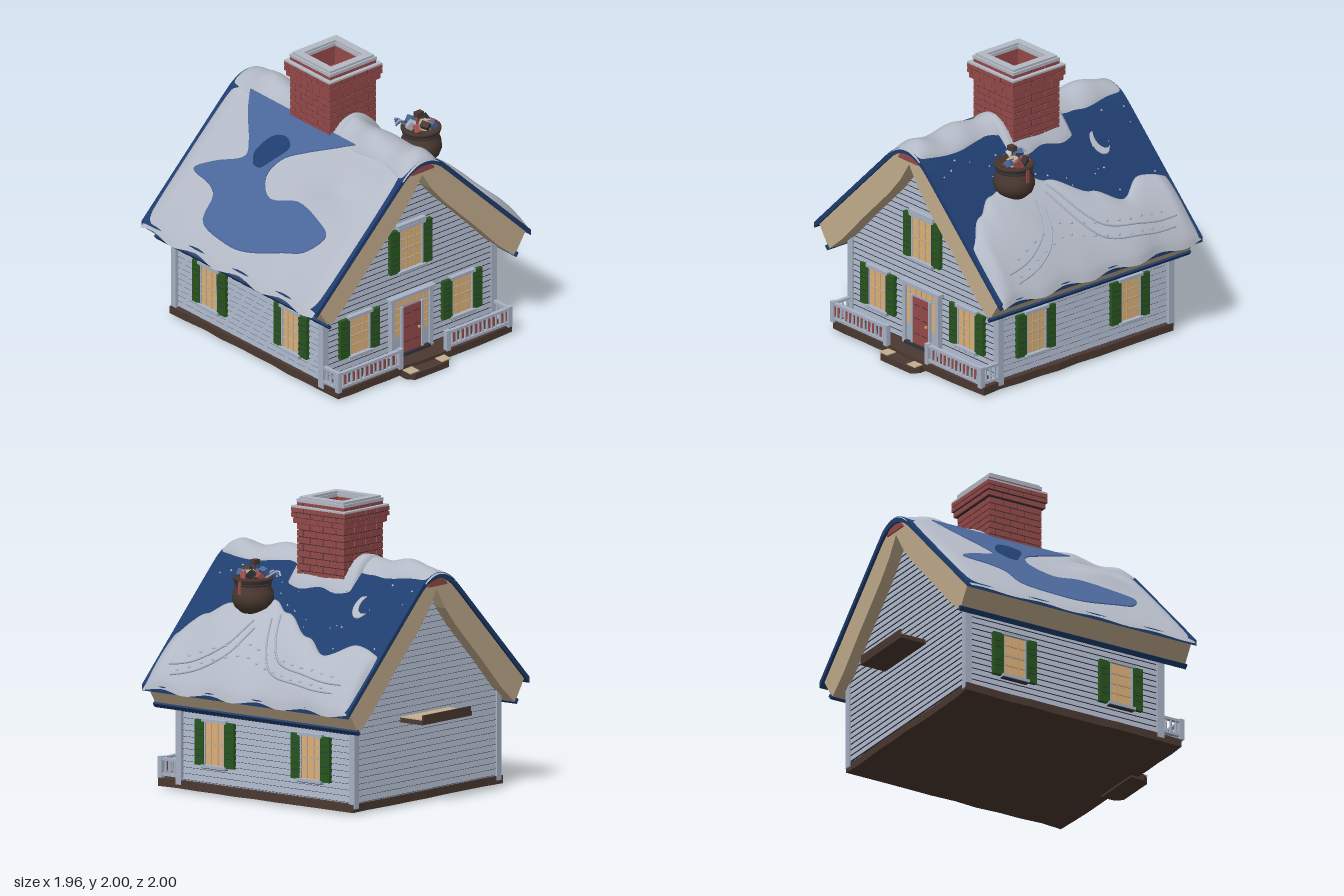
import * as THREE from 'three';
import { mergeGeometries } from 'three/addons/utils/BufferGeometryUtils.js';

const paint = (name, color, side = THREE.FrontSide) => {
  const m = new THREE.MeshStandardMaterial({ color, side });
  m.name = name;
  return m;
};
const siding = paint('greyBlueSiding', 0xa9b3c6), snow = paint('snow', 0xb3b9c5, THREE.DoubleSide);
const navy = paint('navyRoof', 0x1f3d6e), ice = paint('icyBlue', 0x4a669a);
const tan = paint('tanTrim', 0xc4ae8e), brick = paint('brickRed', 0x964a49);
const brown = paint('darkBrown', 0x4b3931), line = paint('shadowLine', 0x34323a);
const green = paint('shutterGreen', 0x28561f), glow = paint('warmGlow', 0xe2b275);

let seed = 7;
const rand = () => (seed = (seed * 16807) % 2147483647) / 2147483647;

function add(parent, name, geo, mat, x = 0, y = 0, z = 0) {
  const m = new THREE.Mesh(geo, mat);
  m.name = name;
  m.position.set(x, y, z);
  parent.add(m);
  return m;
}
const box = (p, name, mat, w, h, d, x, y, z) => add(p, name, new THREE.BoxGeometry(w, h, d), mat, x, y, z);
const group = (parent, name) => { const g = new THREE.Group(); g.name = name; parent.add(g); return g; };
const shapeOf = pts => new THREE.Shape(pts.map(p => new THREE.Vector2(p[0], p[1])));
const extrude = (shape, depth) => new THREE.ExtrudeGeometry(shape, { depth, bevelEnabled: false, curveSegments: 16 });

// smooth interpolation through sorted [t, value] pairs
function along(pts, t) {
  let i = 0;
  while (i < pts.length - 2 && t > pts[i + 1][0]) i++;
  const [a, b] = [pts[i], pts[i + 1]];
  return a[1] + (b[1] - a[1]) * THREE.MathUtils.smoothstep(t, a[0], b[0]);
}

// roof surface: rounded ridge running into straight slopes
const roofY = x => Math.abs(x) < 0.2 ? 1.57 - 2.5 * x * x : 1.47 - (Math.abs(x) - 0.2) * 0.986;
const roofLine = (half, drop) => Array.from({ length: 33 }, (_, i) => {
  const t = i / 16 - 1, x = half * t * Math.abs(t) ** 0.8;
  return [x, roofY(x) - drop];
});

// soft snow sheets lying on the roof
function rise(s, x, z) {
  const u = (x - s.x0(z)) / (s.x1(z) - s.x0(z)), v = (z - s.z0) / (s.z1 - s.z0);
  const across = Math.sqrt(Math.max(0, Math.sin(Math.PI * u)));
  const ends = Math.min(1, Math.sqrt(Math.max(0, Math.sin(Math.PI * v)) * 6));
  return roofY(x) - 0.012 + across * ends * s.thick(x, z);
}
function sheet(parent, name, s) {
  const geo = new THREE.PlaneGeometry(1, 1, 36, 90).rotateX(-Math.PI / 2), p = geo.attributes.position;
  for (let i = 0; i < p.count; i++) {
    const z = s.z0 + (s.z1 - s.z0) * (p.getZ(i) + 0.5);
    const x = s.x0(z) + (s.x1(z) - s.x0(z)) * (p.getX(i) + 0.5);
    p.setXYZ(i, x, rise(s, x, z), z);
  }
  geo.computeVertexNormals();
  add(parent, name, geo, snow);
}
// flat plate from an x/z outline, laid on the slope
function plate(parent, name, mat, pts, off, depth = 0.008) {
  const geo = extrude(shapeOf(pts.map(([x, z]) => [x, -z])), depth).rotateX(-Math.PI / 2), p = geo.attributes.position;
  for (let i = 0; i < p.count; i++) p.setY(i, p.getY(i) + roofY(p.getX(i)) + off);
  geo.computeVertexNormals();
  add(parent, name, geo, mat);
}
const smooth = pts => new THREE.SplineCurve(pts.map(p => new THREE.Vector2(...p))).getPoints(pts.length * 4).map(v => [v.x, v.y]);

// clapboards facing +z, width following the wall outline
function clapboards(parent, name, half, y0, y1, gap) {
  const g = group(parent, name), boards = [], lines = [], h = 0.042;
  for (let y = y0; y < y1; y += h) {
    const w = 2 * half(y + h / 2), b = new THREE.BoxGeometry(w, h, 0.024), p = b.attributes.position;
    for (let i = 0; i < p.count; i++) if (p.getY(i) > 0 && p.getZ(i) > 0) p.setZ(i, 0.003);
    b.computeVertexNormals();
    boards.push(b.translate(0, y + h / 2, 0));
    lines.push(new THREE.BoxGeometry(w, gap, 0.02).translate(0, y - gap / 2, 0));
  }
  add(g, 'boards', mergeGeometries(boards), siding);
  add(g, 'boardShadows', mergeGeometries(lines), line);
  return g;
}

// shuttered window facing +z, origin at its centre
function shutteredWindow(parent, w, h, x, y, z, turn = 0) {
  const g = group(parent, 'window');
  g.position.set(x, y, z);
  g.rotation.y = turn;
  box(g, 'glass', glow, w, h, 0.02, 0, 0, 0);
  for (const s of [-1, 1]) {
    box(g, 'jamb', siding, 0.014, h, 0.03, s * w / 2, 0, 0.003);
    box(g, 'shutter', green, 0.08, h + 0.02, 0.03, s * (w / 2 + 0.045), 0, 0.005);
    box(g, 'shutterEdge', line, 0.006, h + 0.02, 0.026, s * (w / 2 + 0.003), 0, 0.005);
    for (const t of [-1, 1]) for (let i = -2; i <= 2; i++)
      box(g, 'slat', i % 2 ? line : green, 0.05, 0.006, 0.006, s * (w / 2 + 0.045), t * h * 0.24 + i * h * 0.07, 0.02);
    box(g, 'muntin', tan, 0.007, h, 0.008, s * w / 6, 0, 0.011);
  }
  for (const f of [-0.25, 0, 0.25]) box(g, 'muntin', tan, w, f ? 0.007 : 0.014, 0.008, 0, f * h, 0.012);
  box(g, 'head', siding, w + 0.04, 0.022, 0.04, 0, h / 2 + 0.012, 0.008);
  box(g, 'sill', siding, w + 0.04, 0.02, 0.05, 0, -h / 2 - 0.012, 0.012);
  box(g, 'sillShadow', line, w + 0.03, 0.006, 0.04, 0, -h / 2 - 0.024, 0.01);
}

function buildWalls(root) {
  const g = group(root, 'walls');
  const outline = [[-0.74, 0.05], [0.74, 0.05], [0.74, 0.74], [0.2, 1.25], [0, 1.48], [-0.2, 1.25], [-0.74, 0.74]];
  add(g, 'wallCore', extrude(shapeOf(outline), 1.53), siding, 0, 0, -0.79);
  const gable = y => y < 0.72 ? 0.74 : y < 1.25 ? 0.74 - (y - 0.72) * 1.02 : Math.max(0.02, 0.2 - (y - 1.25) * 0.87);
  clapboards(g, 'frontSiding', gable, 0.08, 1.42, 0.007).position.z = 0.74;
  const back = clapboards(g, 'backSiding', gable, 0.08, 1.42, 0.003);
  back.position.z = -0.79;
  back.rotation.y = Math.PI;
  for (const s of [-1, 1]) {
    const side = clapboards(g, 'sideSiding', () => 0.765, 0.08, 0.64, 0.003);
    side.position.set(s * 0.74, 0, -0.025);
    side.rotation.y = s * Math.PI / 2;
    for (const z of [0.735, -0.785]) box(g, 'cornerBoard', siding, 0.05, 0.64, 0.05, s * 0.747, 0.36, z);
    for (const z of [0.42, -0.42]) shutteredWindow(g, 0.17, 0.29, s * 0.755, 0.35, z, s * Math.PI / 2);
    shutteredWindow(g, 0.175, 0.27, s * 0.455, 0.36, 0.757);
  }
  shutteredWindow(g, 0.2, 0.3, 0, 0.865, 0.757);
  box(g, 'upperHood', siding, 0.25, 0.02, 0.05, 0, 1.05, 0.76);

  // shelf on the back wall
  const shelf = group(root, 'backShelf');
  box(shelf, 'shelfBoard', brown, 0.52, 0.03, 0.2, 0.02, 0.585, -0.895);
  box(shelf, 'shelfTop', tan, 0.5, 0.008, 0.19, 0.02, 0.603, -0.895);
  box(shelf, 'shelfLip', brown, 0.5, 0.04, 0.012, 0.02, 0.615, -0.99);
}

function buildPorch(root) {
  const door = group(root, 'entrance');
  box(door, 'surround', siding, 0.36, 0.43, 0.03, 0, 0.29, 0.755);
  box(door, 'door', brick, 0.16, 0.34, 0.03, 0, 0.26, 0.765);
  box(door, 'transom', glow, 0.3, 0.05, 0.03, 0, 0.475, 0.76);
  box(door, 'cornice', siding, 0.4, 0.024, 0.06, 0, 0.515, 0.765);
  box(door, 'threshold', line, 0.3, 0.02, 0.06, 0, 0.085, 0.77);
  box(door, 'knob', glow, 0.014, 0.014, 0.014, 0.06, 0.25, 0.785);
  for (let i = -2; i <= 2; i++) box(door, 'transomBar', tan, 0.007, 0.05, 0.008, i * 0.055, 0.475, 0.776);
  for (const s of [-1, 1]) {
    box(door, 'pilaster', siding, 0.03, 0.43, 0.045, s * 0.17, 0.29, 0.765);
    box(door, 'doorJamb', siding, 0.018, 0.36, 0.045, s * 0.09, 0.26, 0.765);
    box(door, 'sidelight', glow, 0.045, 0.21, 0.03, s * 0.125, 0.33, 0.76);
    for (let i = -1; i <= 1; i++) box(door, 'sidelightBar', tan, 0.045, 0.007, 0.008, s * 0.125, 0.33 + i * 0.055, 0.776);
    for (const y of [0.17, 0.28, 0.38]) box(door, 'doorPanel', line, 0.05, 0.005, 0.006, s * 0.037, y, 0.779);
  }
  // rough-edged ground slab and front step
  const g = group(root, 'base'), rim = [];
  const corners = [[-0.77, 0.8], [-0.77, -0.91], [0.78, -0.91], [0.78, 0.8]];
  corners.forEach(([x, z], c) => {
    const n = corners[(c + 1) % 4];
    for (let i = 0; i < 10; i++) rim.push([x + (n[0] - x) * i / 10 + (rand() - 0.5) * 0.025, z + (n[1] - z) * i / 10 + (rand() - 0.5) * 0.025]);
  });
  add(g, 'groundSlab', extrude(shapeOf(rim), 0.055).rotateX(-Math.PI / 2), brown, 0, 0.015, 0);
  add(g, 'frontStep', extrude(shapeOf([[-0.2, -0.85], [-0.2, -0.95], [-0.16, -1], [0.14, -1], [0.18, -0.95], [0.18, -0.85]]), 0.045).rotateX(-Math.PI / 2), brown);
  for (const x of [-0.15, 0.13]) box(g, 'stepStone', tan, 0.08, 0.008, 0.08, x, 0.047, 0.945);

  // porch railings with red trimming behind the balusters
  for (const s of [-1, 1]) {
    const r = group(root, 'railing');
    for (const y of [0.095, 0.2]) {
      box(r, 'rail', siding, 0.55, 0.018, 0.028, s * 0.485, y, 0.9);
      box(r, 'sideRail', siding, 0.028, 0.018, 0.15, s * 0.755, y, 0.825);
    }
    for (const x of [0.21, 0.755]) box(r, 'railPost', siding, 0.035, 0.15, 0.035, s * x, 0.14, 0.9);
    for (let i = 0; i < 13; i++) {
      const x = s * (0.25 + i * 0.039);
      add(r, 'baluster', new THREE.CylinderGeometry(0.007, 0.011, 0.1, 8), siding, x, 0.147, 0.9);
      if (i % 3 !== 1) box(r, 'redTrim', brick, 0.016, 0.07, 0.012, x + s * 0.019, 0.145, 0.9);
    }
    for (const z of [0.78, 0.82, 0.86]) add(r, 'baluster', new THREE.CylinderGeometry(0.007, 0.011, 0.1, 8), siding, s * 0.755, 0.147, z);
  }
}

function buildRoof(root) {
  const g = group(root, 'roof');
  const under = [[0.82, 0.57], [0.68, 0.69], [0.47, 0.91], [0.2, 1.18], [0.09, 1.31]];
  const mirror = under.map(([x, y]) => [-x, y]).reverse();
  add(g, 'rakeAndEaves', extrude(shapeOf([...roofLine(0.92, 0.035), ...under, [0, 1.45], ...mirror].reverse()), 1.77), tan, 0, 0, -0.885);
  add(g, 'roofSkin', extrude(shapeOf([...roofLine(0.95, 0), ...roofLine(0.95, 0.042).reverse()].reverse()), 1.81), navy, 0, 0, -0.905);
  const dome = new THREE.Shape().absellipse(0, 0, 0.1, 0.05, 0, Math.PI, false, 0);
  add(g, 'ridgeEnd', extrude(dome, 1.79), brick, 0, 1.475, -0.895);
  for (const s of [-1, 1]) {
    box(g, 'eaveEdge', navy, 0.035, 0.022, 1.79, s * 0.83, 0.58, 0).rotation.z = s * 0.9;
    box(g, 'eaveMoulding', tan, 0.02, 0.03, 1.76, s * 0.905, 0.715, 0).rotation.z = -s * 0.6;
  }

  // snow over the ridge, left slope, right drift and chimney foot
  sheet(g, 'ridgeSnow', { z0: -0.915, z1: 0.915, x0: z => -0.185 + 0.012 * Math.sin(z * 13), x1: z => 0.15 + 0.015 * Math.sin(z * 11 + 1),
    thick: (x, z) => 0.05 + 0.014 * Math.sin(z * 17) + 0.01 * Math.sin(z * 7.3 + x * 15) });
  sheet(g, 'chimneySnow', { z0: -0.35, z1: 0.21, x0: () => -0.2, x1: z => 0.28 + 0.012 * Math.sin(z * 20), thick: () => 0.07 });
  sheet(g, 'leftSnow', { z0: -0.89, z1: 0.885, x0: z => -0.975 + 0.012 * Math.sin(z * 14), x1: () => -0.13,
    thick: (x, z) => 0.045 + 0.055 * Math.exp(-(((x + 0.42) / 0.09) ** 2) - ((z - 0.48) / 0.22) ** 2) });
  const edge = [[-0.9, 0.6], [-0.66, 0.56], [-0.45, 0.65], [-0.24, 0.56], [0.05, 0.43], [0.22, 0.36], [0.4, 0.39], [0.55, 0.42], [0.7, 0.5], [0.88, 0.63]];
  const drift = { z0: -0.89, z1: 0.885, x0: z => along(edge, z), x1: z => 0.965 + 0.012 * Math.sin(z * 15),
    thick: (x, z) => 0.1 + 0.015 * Math.sin(z * 9 + x * 6) };
  sheet(g, 'rightDrift', drift);

  // bare icy patches on the left slope
  plate(g, 'icyPatch', ice, smooth([[-0.16, -0.7], [-0.26, -0.61], [-0.39, -0.45], [-0.47, -0.41], [-0.55, -0.61], [-0.63, -0.74], [-0.66, -0.55],
    [-0.71, -0.45], [-0.84, -0.4], [-0.88, -0.13], [-0.87, 0.08], [-0.79, 0.37], [-0.74, 0.53], [-0.63, 0.62], [-0.58, 0.5], [-0.54, 0.24],
    [-0.59, 0], [-0.5, -0.14], [-0.39, -0.1], [-0.31, 0.05], [-0.23, 0.24], [-0.165, 0.39]]), 0.034);
  plate(g, 'barePatch', navy, smooth([[-0.48, -0.3], [-0.42, -0.35], [-0.32, -0.29], [-0.29, -0.18], [-0.33, -0.1], [-0.42, -0.17], [-0.48, -0.23], [-0.48, -0.3]]), 0.037);

  // moon and stars painted on the right slope
  const moon = [];
  for (let i = 0; i <= 12; i++) { const a = -0.5 + i * 0.24; moon.push([0.34 + 0.07 * Math.cos(a), -0.52 + 0.07 * Math.sin(a)]); }
  for (let i = 12; i >= 0; i--) { const a = -0.5 + i * 0.24; moon.push([0.325 + 0.06 * Math.cos(a), -0.55 + 0.06 * Math.sin(a)]); }
  plate(g, 'moon', snow, moon.reverse(), 0.002);
  for (let i = 0; i < 46; i++) {
    const x = 0.18 + rand() * 0.42, z = -0.85 + rand() * 1.7;
    if (x < drift.x0(z) - 0.02) add(g, 'star', new THREE.OctahedronGeometry(0.006 + rand() * 0.005), snow, x, roofY(x), z);
  }
  // runner tracks and hoof marks in the drift
  const trails = [[[0.48, 0.08], [0.68, -0.04], [0.8, -0.19], [0.85, -0.45], [0.85, -0.76]], [[0.56, 0.25], [0.73, 0.33], [0.82, 0.5], [0.86, 0.74]]];
  trails.forEach((t, k) => [0, 0.045].forEach(o => {
    const pts = smooth(t).map(([x, z]) => new THREE.Vector3(x + o, rise(drift, x + o, z + (k ? -o : o)), z + (k ? -o : o)));
    add(g, 'runnerTrack', new THREE.TubeGeometry(new THREE.CatmullRomCurve3(pts), 60, 0.008, 6), siding);
  }));
  for (let i = 0; i < 30; i++) {
    const z = -0.65 + i * 0.045, x = 0.74 + 0.11 * Math.min(1, Math.abs(z - 0.15) / 0.5) + (i % 2 ? 0.03 : -0.035);
    add(g, 'hoofMark', new THREE.SphereGeometry(0.013, 8, 6).scale(0.8, 0.45, 1.2), siding, x, rise(drift, x, z), z).rotation.z = -0.75;
  }
}

function buildChimney(root) {
  const g = group(root, 'chimney');
  g.position.set(0.02, 0, -0.055);
  const square = (s, P) => new P().moveTo(-s, -s).lineTo(s, -s).lineTo(s, s).lineTo(-s, s).closePath();
  const ring = (name, mat, out, inn, y, h) => {
    const s = square(out, THREE.Shape);
    s.holes.push(square(inn, THREE.Path));
    add(g, name, extrude(s, h).rotateX(-Math.PI / 2), mat, 0, y, 0);
  };
  const bricks = [];
  const course = (half, y, h, odd) => {
    ring('mortar', line, half - 0.006, 0.14, y, h);
    for (let side = 0; side < 4; side++) for (let x = -half - (odd ? 0.06 : 0); x < half - 0.02; x += 0.115) {
      const a = Math.max(-half, x), b = Math.min(half, x + 0.108);
      if (b - a > 0.01) bricks.push(new THREE.BoxGeometry(b - a, h - 0.007, 0.02).translate((a + b) / 2, y + h / 2, half - 0.01).rotateY(side * Math.PI / 2));
    }
  };
  for (let i = 0; i < 13; i++) course(0.205, 1.222 + i * 0.046, 0.046, i % 2);
  course(0.225, 1.82, 0.04, 0);
  course(0.235, 1.86, 0.035, 1);
  course(0.235, 1.895, 0.035, 0);
  course(0.205, 1.93, 0.035, 1);
  add(g, 'bricks', mergeGeometries(bricks), brick);
  ring('flueLining', brick, 0.142, 0.13, 1.6, 0.362);
  box(g, 'flueFloor', brick, 0.27, 0.02, 0.27, 0, 1.82, 0);
  ring('ledgeSnow', snow, 0.234, 0.19, 1.928, 0.012);
  ring('topSnow', snow, 0.208, 0.132, 1.963, 0.022);
  ring('topSnowCrown', snow, 0.195, 0.14, 1.98, 0.02);
}

function buildSack(root) {
  const g = group(root, 'giftSack');
  g.position.set(0.455, 1.2, 0.345);
  const profile = [[0.001, 0.02], [0.08, 0.02], [0.125, 0.06], [0.143, 0.11], [0.138, 0.16], [0.118, 0.21], [0.122, 0.225], [0.138, 0.245], [0.138, 0.262], [0.12, 0.265], [0.105, 0.24], [0.001, 0.235]];
  add(g, 'sack', new THREE.LatheGeometry(profile.map(p => new THREE.Vector2(...p)), 24), brown);
  add(g, 'tieBand', new THREE.TorusGeometry(0.12, 0.008, 6, 24).rotateX(Math.PI / 2), line, 0, 0.215, 0);
  box(g, 'ribbon', brick, 0.01, 0.09, 0.02, 0.14, 0.2, 0);
  const mats = [brick, ice, brown, brick, snow, ice, brick, line];
  mats.forEach((m, i) => {
    const a = i * 0.785 + 0.3, t = box(g, 'gift', m, 0.045, 0.06, 0.04, 0.075 * Math.cos(a), 0.27 + (i % 3) * 0.015, 0.075 * Math.sin(a));
    t.rotation.set(a, a * 2, 0.4);
  });
  add(g, 'drum', new THREE.CylinderGeometry(0.045, 0.045, 0.05, 18), tan, 0.01, 0.28, 0.03);
  box(g, 'malletHead', brown, 0.055, 0.035, 0.04, -0.02, 0.36, 0);
  add(g, 'malletHandle', new THREE.CylinderGeometry(0.006, 0.006, 0.12, 6), brown, -0.02, 0.3, 0);
  for (let i = 0; i < 4; i++) {
    const p = [[-0.06, 0.25, -0.06], [-0.1, 0.3, -0.08 - i * 0.02], [-0.14 + i * 0.02, 0.27, -0.1 - i * 0.025]].map(v => new THREE.Vector3(...v));
    add(g, 'toyArm', new THREE.TubeGeometry(new THREE.CatmullRomCurve3(p), 10, 0.007, 6), i % 2 ? siding : ice);
  }
}

export function createModel() {
  const root = new THREE.Group();
  root.name = 'winterHouse';
  [buildWalls, buildPorch, buildRoof, buildChimney, buildSack].forEach(build => build(root));
  return root;
}
